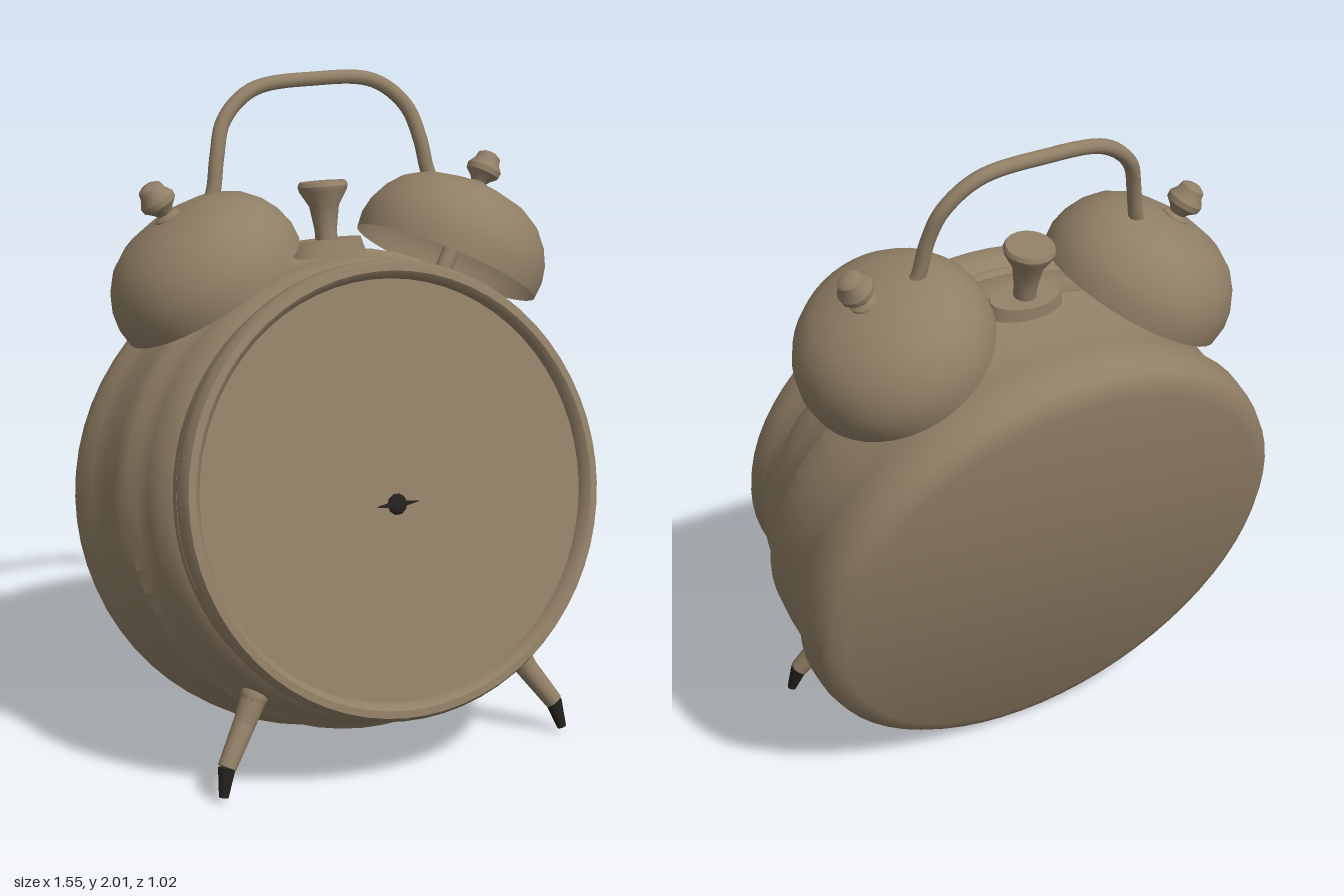
import * as THREE from 'three';
import { toCreasedNormals } from 'three/addons/utils/BufferGeometryUtils.js';

export function createModel() {
  const model = new THREE.Group();
  model.name = 'alarmClock';

  const brass = new THREE.MeshStandardMaterial({ color: 0x917f66, side: THREE.DoubleSide });
  brass.name = 'dull brass';
  const dark = new THREE.MeshStandardMaterial({ color: 0x23211f });
  dark.name = 'dark rubber';

  const add = (parent, name, geometry, material = brass) => {
    const mesh = new THREE.Mesh(geometry, material);
    mesh.name = name;
    parent.add(mesh);
    return mesh;
  };
  // Profile points are [radius, height], bottom to top
  const lathe = (points, sides = 48, crease = 0.6) =>
    toCreasedNormals(new THREE.LatheGeometry(points.map(([r, y]) => new THREE.Vector2(r, y)), sides), crease);
  const tube = (points, radius, steps, sides = 10) =>
    new THREE.TubeGeometry(new THREE.CatmullRomCurve3(points.map((p) => new THREE.Vector3(...p))), steps, radius, sides);
  // Tapered round bar between two points
  const bar = (from, to, r0, r1) => {
    const a = new THREE.Vector3(...from), b = new THREE.Vector3(...to);
    const d = b.clone().sub(a);
    const g = new THREE.CylinderGeometry(r1, r0, d.length(), 12);
    g.applyQuaternion(new THREE.Quaternion().setFromUnitVectors(new THREE.Vector3(0, 1, 0), d.clone().normalize()));
    const mid = a.add(b).multiplyScalar(0.5);
    return g.translate(mid.x, mid.y, mid.z);
  };

  // Case: turned drum, leaning back; local +y runs along its axis to the front
  const clock = new THREE.Group();
  clock.name = 'case';
  clock.position.set(0, 0.69, -0.31);
  clock.rotation.x = THREE.MathUtils.degToRad(75);
  model.add(clock);

  const drum = lathe([
    [0, -0.035], [0.66, -0.035], [0.7, -0.02], [0.722, 0], [0.735, 0.04], [0.74, 0.1],
    [0.728, 0.14], [0.72, 0.2], [0.724, 0.3], [0.722, 0.37], [0.7, 0.4], [0.69, 0.46],
    [0.68, 0.52], [0.655, 0.55], [0.658, 0.58],
  ], 64);
  // Widen the drum sideways towards the back
  const p = drum.attributes.position;
  for (let i = 0; i < p.count; i++) p.setX(i, p.getX(i) * (1 + 0.055 * (1 - p.getY(i) / 0.67)));
  add(clock, 'drum', toCreasedNormals(drum, 0.6));

  add(clock, 'bezel', lathe([
    [0.63, 0.56], [0.66, 0.575], [0.672, 0.61], [0.672, 0.645], [0.66, 0.668],
    [0.638, 0.67], [0.622, 0.655], [0.616, 0.63],
  ], 64));
  const face = add(clock, 'dialFace', new THREE.CylinderGeometry(0.625, 0.625, 0.02, 64));
  face.position.y = 0.624;

  // Dial centre
  const hub = add(clock, 'handHub', new THREE.SphereGeometry(0.032, 10, 6), dark);
  hub.position.set(0, 0.636, 0.04);
  hub.scale.y = 0.4;
  const hand = add(clock, 'hands', new THREE.CylinderGeometry(0.07, 0.07, 0.008, 4), dark);
  hand.position.set(0, 0.64, 0.04);
  hand.scale.z = 0.17;

  // Top button on an oval pad
  const button = new THREE.Group();
  button.name = 'topButton';
  button.position.set(0, 1.48, -0.15);
  button.rotation.x = -0.16;
  model.add(button);
  add(button, 'buttonPlunger', lathe([
    [0.032, -0.02], [0.034, 0.06], [0.045, 0.13], [0.072, 0.175], [0.076, 0.19], [0.07, 0.203], [0, 0.205],
  ], 20));
  const pad = add(button, 'buttonPad', new THREE.CylinderGeometry(0.11, 0.125, 0.05, 28));
  pad.scale.z = 0.6;
  pad.position.y = 0.005;

  // Carrying handle between the bells
  const half = [[0.385, 1.62, -0.17], [0.355, 1.68, -0.18], [0.335, 1.78, -0.195],
    [0.3, 1.88, -0.222], [0.2, 1.96, -0.242]];
  const path = [...half.map(([x, y, z]) => [-x, y, z]), [0, 1.978, -0.247], ...half.slice().reverse()];
  add(model, 'handle', tube(path, 0.022, 60));

  for (const side of [1, -1]) {
    const label = side > 0 ? 'left' : 'right';

    // Bell, post and finial share one tilted axis
    const bell = new THREE.Group();
    bell.name = label + 'Bell';
    bell.position.set(side * 0.385, 1.405, -0.115);
    bell.quaternion.setFromUnitVectors(new THREE.Vector3(0, 1, 0),
      new THREE.Vector3(side * 0.49, 0.86, -0.14).normalize());
    model.add(bell);
    add(bell, 'bellDome', lathe([
      [0.292, 0], [0.296, 0.05], [0.286, 0.1], [0.262, 0.15], [0.225, 0.195],
      [0.17, 0.23], [0.09, 0.253], [0, 0.26],
    ], 40, 0.9));
    add(bell, 'bellPost', new THREE.CylinderGeometry(0.026, 0.026, 0.4, 12)).position.y = 0.05;
    add(bell, 'bellFinial', lathe([
      [0.045, 0.24], [0.04, 0.262], [0.024, 0.27], [0.032, 0.282], [0.052, 0.3],
      [0.054, 0.318], [0.04, 0.338], [0.036, 0.358], [0.02, 0.368], [0, 0.37],
    ], 14));

    // Splayed leg with a dark foot
    const leg = new THREE.Group();
    leg.name = label + 'Leg';
    model.add(leg);
    const hip = [side * 0.435, 0.275, 0.255], knee = [side * 0.475, 0.2, 0.27];
    const ankle = [side * 0.55, 0.09, 0.31], toe = [side * 0.57, 0.008, 0.33];
    add(leg, 'legRoot', bar([side * 0.4, 0.32, 0.2], hip, 0.04, 0.04));
    const joint = add(leg, 'legJoint', new THREE.SphereGeometry(0.042, 14, 10));
    joint.position.set(...hip);
    add(leg, 'upperLeg', bar(hip, knee, 0.04, 0.034));
    add(leg, 'lowerLeg', bar(knee, ankle, 0.034, 0.028));
    add(leg, 'foot', bar(ankle, toe, 0.026, 0.014), dark);
  }

  return model;
}
